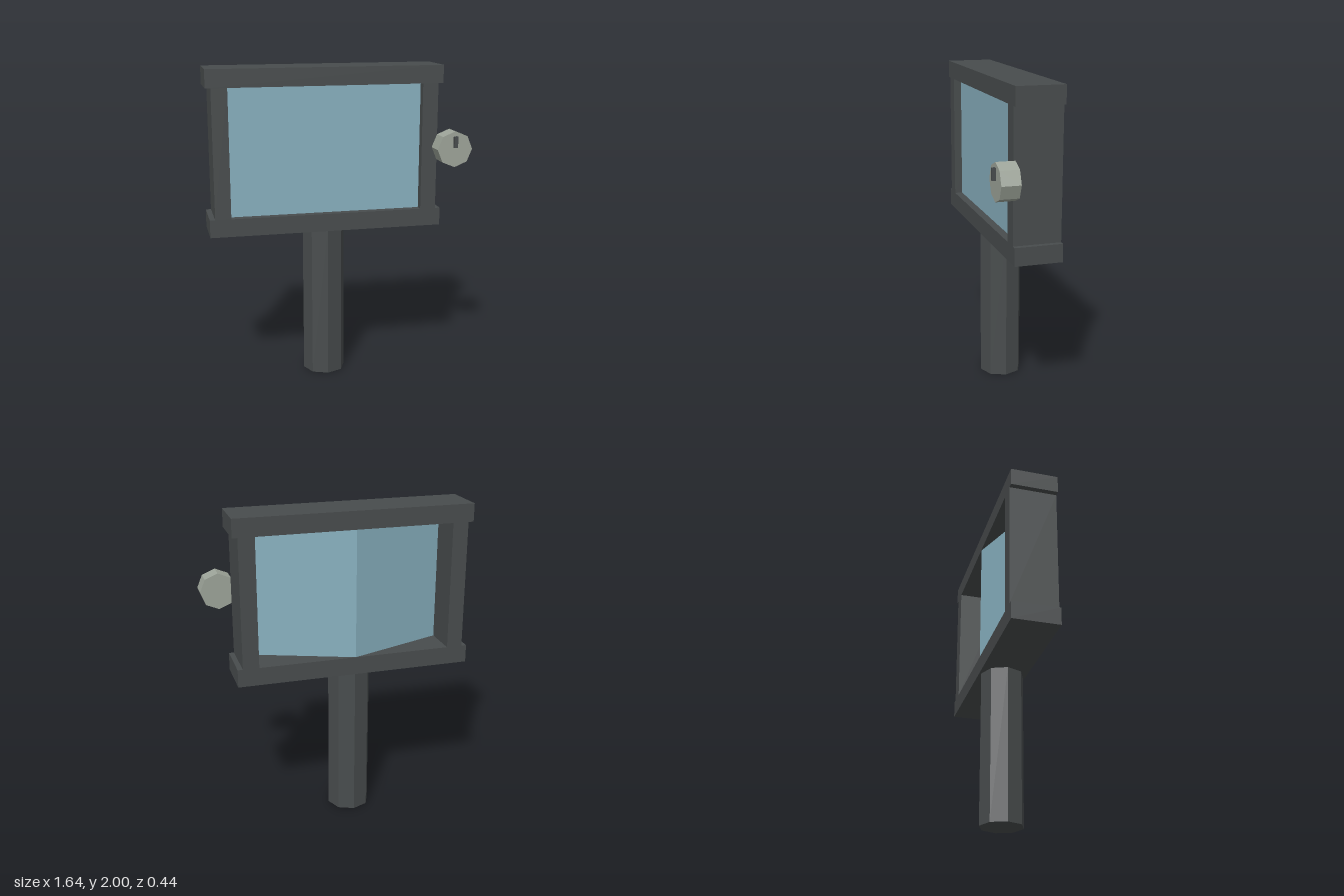
import * as THREE from 'three';

const mat = (name, color) => {
  const m = new THREE.MeshStandardMaterial({ color });
  m.name = name;
  return m;
};

export function createModel() {
  const group = new THREE.Group();
  const darkGrey = mat('dark grey', 0x484c4d);
  const glassBlue = mat('glass blue', 0x87afbe);
  const paleGrey = mat('pale grey', 0x9da499);

  const add = (name, geometry, material, x, y, z) => {
    const mesh = new THREE.Mesh(geometry, material);
    mesh.name = name;
    mesh.position.set(x, y, z);
    group.add(mesh);
    return mesh;
  };
  // Box given by its minimum and maximum corners
  const box = (name, material, [x0, y0, z0], [x1, y1, z1]) =>
    add(name, new THREE.BoxGeometry(x1 - x0, y1 - y0, z1 - z0), material,
      (x0 + x1) / 2, (y0 + y1) / 2, (z0 + z1) / 2);
  // Flat-sided octagonal prism
  const octagon = (r, h) => new THREE.CylinderGeometry(r, r, h, 8).toNonIndexed();
  const flat = (g) => { g.computeVertexNormals(); return g; };

  const cx = -0.08, back = -0.222, front = 0.073;
  const low = 1.087, high = 1.888;

  // Frame: two wide rails and two narrower posts
  box('bottomRail', darkGrey, [-0.82, 0.975, back], [0.66, low, front]);
  box('topRail', darkGrey, [-0.82, high, back], [0.66, 2, front]);
  box('rightPost', darkGrey, [-0.787, low, back], [-0.688, high, front]);
  box('leftPost', darkGrey, [0.528, low, back], [0.628, high, front]);

  // Glass: flat at the front, wedge-shaped towards the back
  const s = new THREE.Shape([[-0.688, -0.023], [0.528, -0.023], [0.528, -0.004], [cx, 0.22], [-0.688, -0.004]]
    .map(([x, y]) => new THREE.Vector2(x, y)));
  const glass = new THREE.ExtrudeGeometry(s, { depth: high - low, bevelEnabled: false });
  glass.rotateX(-Math.PI / 2);
  add('glass', glass, glassBlue, 0, low, 0);

  // Octagonal pole
  add('pole', flat(octagon(0.136, 0.975)), darkGrey, cx, 0.4875, -0.073);

  // Knob and its pointer
  add('knob', flat(octagon(0.113, 0.115).rotateX(Math.PI / 2)), paleGrey, 0.703, 1.489, 0.143);
  box('knobPointer', darkGrey, [0.692, 1.5, 0.19], [0.715, 1.571, 0.222]);

  return group;
}
